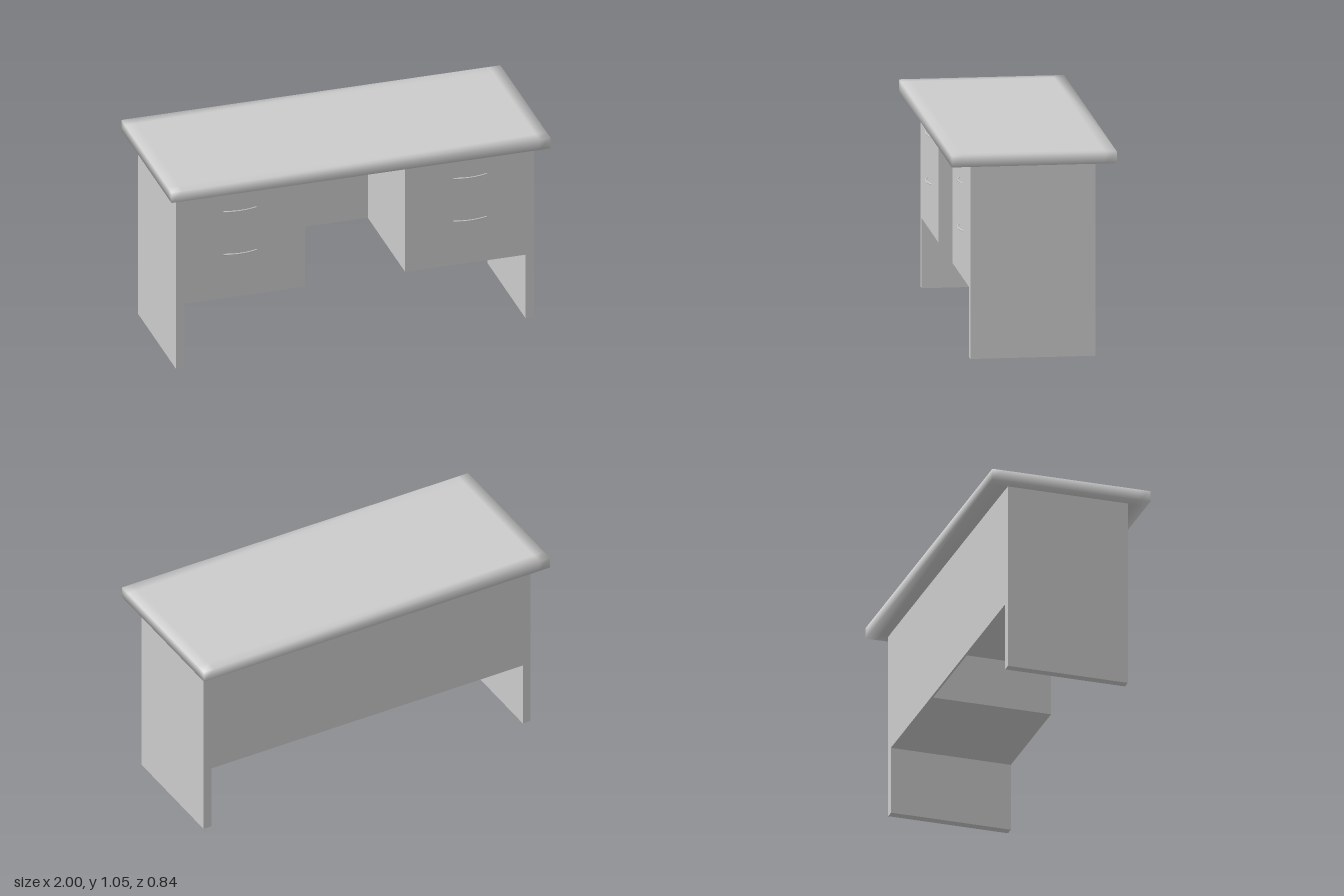
import * as THREE from 'three';
import { mergeVertices } from 'three/addons/utils/BufferGeometryUtils.js';

const grey = new THREE.MeshStandardMaterial({ color: 0xcccccc });

// Body sizes
const TOP_Y = 1.055, BODY_Y = 0.996, SKIRT_Y = 0.36;
const OUTER_X = 0.945, INNER_X = 0.9, KNEE_X = 0.265, FRONT_Z = 0.318;

function addMesh(parent, name, geometry) {
  const mesh = new THREE.Mesh(geometry, grey);
  mesh.name = name;
  parent.add(mesh);
  return mesh;
}

// Box given by its minimum and maximum corners
function addBox(parent, name, [x0, y0, z0], [x1, y1, z1]) {
  const mesh = addMesh(parent, name, new THREE.BoxGeometry(x1 - x0, y1 - y0, z1 - z0));
  mesh.position.set((x0 + x1) / 2, (y0 + y1) / 2, (z0 + z1) / 2);
  return mesh;
}

// Slab with a flat centre and a narrow border whose normals roll softly over the edges
function softSlab(width, height, depth, border) {
  const geometry = new THREE.BoxGeometry(width, height, depth, 3, 1, 3);
  geometry.deleteAttribute('normal');
  geometry.deleteAttribute('uv');
  const p = geometry.attributes.position;
  const inset = (v, half) => (Math.abs(v) < half - 0.001 ? Math.sign(v) * (half - border) : v);
  for (let i = 0; i < p.count; i++) {
    p.setX(i, inset(p.getX(i), width / 2));
    p.setZ(i, inset(p.getZ(i), depth / 2));
  }
  const merged = mergeVertices(geometry);
  merged.computeVertexNormals();
  return merged;
}

export function createModel() {
  const desk = new THREE.Group();
  desk.name = 'desk';

  // Desktop
  const top = addMesh(desk, 'desktop', softSlab(2, TOP_Y - BODY_Y, 0.838, 0.06));
  top.position.y = (TOP_Y + BODY_Y) / 2;

  // Back panel between the side panels
  addBox(desk, 'backPanel', [-INNER_X, SKIRT_Y, -FRONT_Z - 0.001], [INNER_X, BODY_Y, -FRONT_Z + 0.01]);

  // Bowed drawer pull, running along x and ending on the drawer front
  const pullCurve = new THREE.QuadraticBezierCurve3(
    new THREE.Vector3(-0.088, 0, 0),
    new THREE.Vector3(0, 0, 0.03),
    new THREE.Vector3(0.088, 0, 0)
  );
  const pullGeometry = new THREE.TubeGeometry(pullCurve, 16, 0.004, 8);

  for (const [side, s] of [['left', 1], ['right', -1]]) {
    // Mirrors a box across x = 0
    const mirrorBox = (name, xIn, xOut, y0, z0) =>
      addBox(desk, name, [Math.min(s * xIn, s * xOut), y0, z0], [Math.max(s * xIn, s * xOut), BODY_Y, FRONT_Z]);

    mirrorBox(`${side}SidePanel`, INNER_X, OUTER_X, 0, -FRONT_Z);
    mirrorBox(`${side}DrawerPedestal`, KNEE_X, INNER_X, SKIRT_Y, -FRONT_Z + 0.01);

    // Two pulls per pedestal
    [['Upper', 0.85], ['Lower', 0.608]].forEach(([level, y]) => {
      const pull = addMesh(desk, `${side}${level}Pull`, pullGeometry);
      pull.position.set(s * 0.607, y, FRONT_Z);
    });
  }
  return desk;
}
